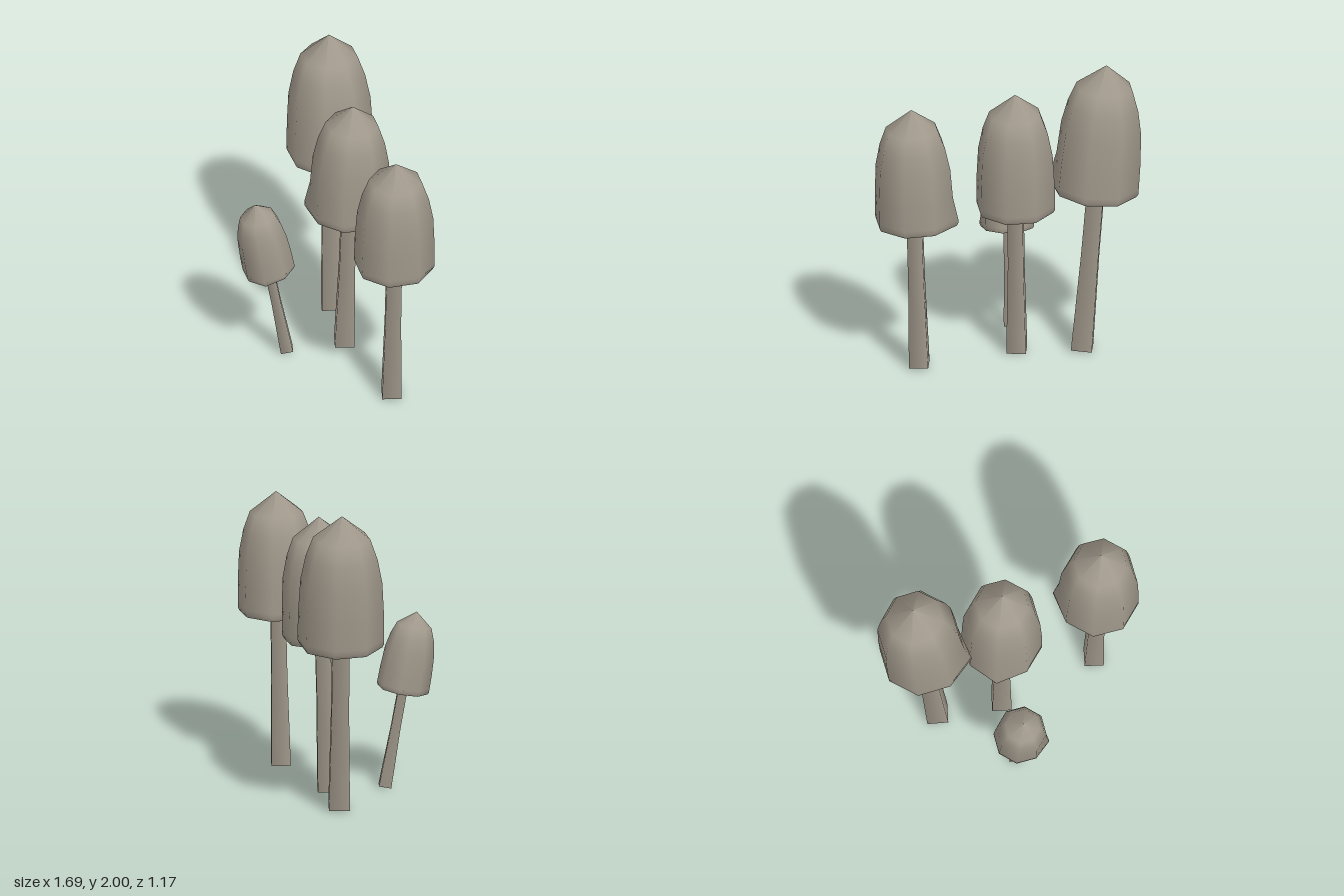
import * as THREE from 'three';

const skin = new THREE.MeshStandardMaterial({ color: 0xa0988b });
skin.name = 'greyBrownSkin';
const gills = new THREE.MeshStandardMaterial({ color: 0x4b4142 });
gills.name = 'darkGills';

const UP = new THREE.Vector3(0, 1, 0);

// Lathe from [radius, height] pairs, scaled to the given radius and height
function lathe(pairs, r, h, sides) {
  return new THREE.LatheGeometry(pairs.map(([x, y]) => new THREE.Vector2(x * r, y * h)), sides);
}

// Pull one corner of the rim outwards so the edge is uneven
function flareRim(geo, r, h) {
  const p = geo.attributes.position;
  for (let i = 0; i < p.count; i++) {
    const x = p.getX(i), z = p.getZ(i);
    const onCorner = Math.abs(Math.atan2(x, z) - Math.PI / 4) < 0.1;
    if (onCorner && p.getY(i) < h * 0.1 && Math.hypot(x, z) > r * 0.85) {
      p.setX(i, x * 1.11);
      p.setZ(i, z * 1.11);
    }
  }
  return geo;
}

function part(name, geo, material) {
  const mesh = new THREE.Mesh(geo, material);
  mesh.name = name;
  return mesh;
}

function makeMushroom({ name, base, tip, capR, capH, stemR, topR, turn }) {
  const group = new THREE.Group();
  group.name = name;
  const from = new THREE.Vector3(...base);
  const axis = new THREE.Vector3(...tip).sub(from);
  const length = axis.length();
  group.position.copy(from);
  group.quaternion.setFromUnitVectors(UP, axis.normalize());

  // Four-sided stem, flared at the foot and running up into the cap
  const stemH = length - capH * 0.76;
  const mid = topR * 1.04;
  const stem = part('stem', lathe(
    [[stemR, 0], [stemR * 0.96, 0.12], [mid, 0.5], [topR, 1]], 1, stemH, 4), skin);
  stem.rotation.y = 0.17;
  const foot = part('stemFoot', new THREE.CircleGeometry(stemR, 4).rotateX(Math.PI / 2), skin);
  foot.rotation.y = 0.17;

  // Eight-sided bell cap with a rolled lip and a hollow underside
  const cap = new THREE.Group();
  cap.name = 'cap';
  cap.position.y = length - capH;
  cap.rotation.y = turn;
  const shape = (pairs) => flareRim(lathe(pairs, capR, capH, 8), capR, capH);
  cap.add(
    part('capBell', shape([[1, 0.06], [0.99, 0.25], [0.945, 0.5], [0.83, 0.68], [0.66, 0.83], [0, 1]]), skin),
    part('capLip', shape([[0.96, 0], [1, 0.025], [1, 0.06]]), skin),
    part('capUnderside', shape([[0, 0.26], [0.45, 0.22], [0.82, 0.1], [0.9, 0.02], [0.96, 0]]), gills),
  );
  group.add(stem, foot, cap);
  return group;
}

export function createModel() {
  const model = new THREE.Group();
  model.name = 'mushroomCluster';
  const specs = [
    { name: 'tallMushroom', base: [-0.48, 0.015, -0.235], tip: [-0.615, 2, -0.315],
      capR: 0.28, capH: 0.88, stemR: 0.095, topR: 0.076, turn: 0 },
    { name: 'middleMushroom', base: [-0.107, 0.012, -0.045], tip: [-0.07, 1.83, -0.085],
      capR: 0.26, capH: 0.81, stemR: 0.088, topR: 0.068, turn: -Math.PI / 2 },
    { name: 'rightMushroom', base: [0.545, 0.012, 0.08], tip: [0.602, 1.815, 0.085],
      capR: 0.26, capH: 0.795, stemR: 0.087, topR: 0.068, turn: Math.PI },
    { name: 'smallMushroom', base: [-0.265, 0.012, 0.298], tip: [-0.35, 1.16, 0.49],
      capR: 0.17, capH: 0.52, stemR: 0.056, topR: 0.041, turn: 0 },
  ];
  for (const spec of specs) model.add(makeMushroom(spec));
  return model;
}
